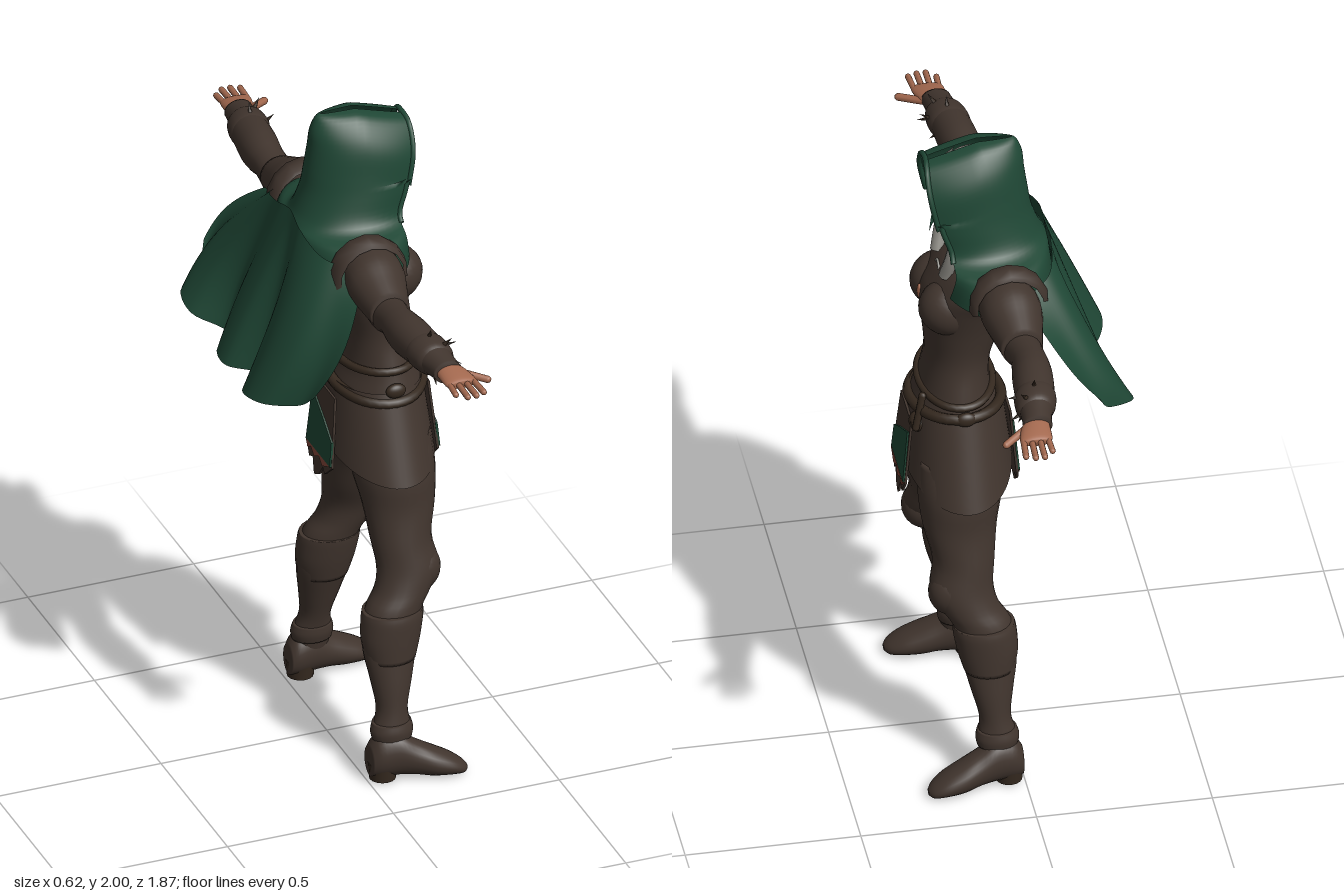
import * as THREE from 'three';

const mat = (name, color, side = THREE.FrontSide) => {
  const m = new THREE.MeshStandardMaterial({ color, side });
  m.name = name;
  return m;
};
const V = (x, y, z) => new THREE.Vector3(x, y, z);

export function createModel() {
  const model = new THREE.Group();
  const leather = mat('dark leather', 0x41352e, THREE.DoubleSide);
  const strap = mat('strap leather', 0x35291f, THREE.DoubleSide);
  const green = mat('green cloth', 0x1f4735, THREE.DoubleSide);
  const skin = mat('skin', 0xa4694f);
  const lips = mat('lips and fringe', 0x85483a);
  const hair = mat('grey hair', 0x94928b);

  const add = (name, geo, m, parent = model) => {
    const mesh = new THREE.Mesh(geo, m);
    mesh.name = name;
    parent.add(mesh);
    return mesh;
  };

  // Grid surface from rows of points; closed rings also get end caps
  function surface(rows, ring) {
    const n = rows[0].length, pos = [], idx = [];
    rows.forEach(r => r.forEach(p => pos.push(p.x, p.y, p.z)));
    for (let i = 0; i < rows.length - 1; i++)
      for (let j = 0; j < (ring ? n : n - 1); j++) {
        const k = (j + 1) % n, a = i * n + j, b = i * n + k, c = a + n, d = b + n;
        idx.push(a, c, b, b, c, d);
      }
    if (ring) [0, rows.length - 1].forEach(i => {
      const c = rows[i].reduce((s, p) => s.add(p), V(0, 0, 0)).divideScalar(n);
      const ci = pos.length / 3;
      pos.push(c.x, c.y, c.z);
      for (let j = 0; j < n; j++) {
        const a = i * n + j, b = i * n + (j + 1) % n;
        idx.push(...(i ? [a, ci, b] : [a, b, ci]));
      }
    });
    if (ring) { // turn faces outward
      let vol = 0;
      const at = i => V(pos[3 * i], pos[3 * i + 1], pos[3 * i + 2]);
      for (let i = 0; i < idx.length; i += 3) vol += at(idx[i]).dot(at(idx[i + 1]).cross(at(idx[i + 2])));
      if (vol < 0) idx.reverse();
    }
    const g = new THREE.BufferGeometry();
    g.setAttribute('position', new THREE.Float32BufferAttribute(pos, 3));
    g.setIndex(idx);
    g.computeVertexNormals();
    return g;
  }

  // Smooth interpolation of number rows
  function smooth(rows, sub) {
    const out = [];
    for (let i = 0; i < rows.length - 1; i++) for (let s = 0; s < sub; s++) {
      const t = s / sub, R = k => rows[Math.min(rows.length - 1, Math.max(0, k))];
      out.push(rows[i].map((_, k) => {
        const a = R(i - 1)[k], b = R(i)[k], c = R(i + 1)[k], d = R(i + 2)[k];
        return b + 0.5 * t * (c - a + t * (2 * a - 5 * b + 4 * c - d + t * (3 * (b - c) + d - a)));
      }));
    }
    out.push(rows[rows.length - 1]);
    return out;
  }

  // Elliptical loft; sections are [position, centre1, centre2, half1, half2]
  const place = {
    y: (k, p, q) => V(p, k, q), // 1 = x, 2 = z
    z: (k, p, q) => V(p, q, k), // 1 = x, 2 = y
    x: (k, p, q) => V(k, q, p)  // 1 = z, 2 = y
  };
  function loft(name, m, axis, sections, s = 1, sub = 4, n = 24) {
    const rows = smooth(sections, sub).map(([k, p, q, a, b]) => Array.from({ length: n }, (_, j) => {
      const t = j / n * Math.PI * 2, v = place[axis](k, p + a * Math.cos(t), q + b * Math.sin(t));
      v.z *= s;
      return v;
    }));
    return add(name, surface(rows, true), m);
  }
  const ball = (name, m, x, y, z, a, b, c) => {
    const o = add(name, new THREE.SphereGeometry(1, 24, 16), m);
    o.position.set(x, y, z);
    o.scale.set(a, b, c);
    return o;
  };
  const tube = (name, m, pts, r, closed = false) =>
    add(name, new THREE.TubeGeometry(new THREE.CatmullRomCurve3(pts, closed), 40, r, 8, closed), m);
  const rod = (name, m, p, q, r, cone) => {
    const len = p.distanceTo(q);
    const o = add(name, cone ? new THREE.ConeGeometry(r, len, 6) : new THREE.CapsuleGeometry(r, len, 4, 8), m);
    o.position.copy(p).lerp(q, 0.5);
    o.quaternion.setFromUnitVectors(V(0, 1, 0), q.clone().sub(p).normalize());
  };

  // Torso and bust
  loft('torso', leather, 'y', [
    [0.86, 0.14, 0, 0.06, 0.05], [0.93, 0.14, 0, 0.11, 0.14], [1.02, 0.14, 0, 0.13, 0.175],
    [1.12, 0.145, 0, 0.125, 0.17], [1.2, 0.145, 0, 0.1, 0.15], [1.3, 0.135, 0, 0.093, 0.128],
    [1.4, 0.12, 0, 0.115, 0.14], [1.5, 0.105, 0, 0.135, 0.165], [1.56, 0.09, 0, 0.12, 0.185],
    [1.61, 0.08, 0, 0.088, 0.17], [1.64, 0.07, 0, 0.05, 0.09]], 1, 5, 36);
  for (const s of [1, -1]) ball('bust', leather, 0.165, 1.485, 0.068 * s, 0.092, 0.085, 0.08);

  // Neck, head and face
  loft('neck', skin, 'y', [[1.56, 0.105, 0, 0.07, 0.05], [1.63, 0.1, 0, 0.055, 0.045], [1.72, 0.09, 0, 0.05, 0.045]]);
  loft('head', skin, 'y', [[1.655, 0.135, 0, 0.025, 0.02], [1.675, 0.125, 0, 0.05, 0.042], [1.73, 0.1, 0, 0.08, 0.062],
    [1.8, 0.09, 0, 0.095, 0.074], [1.87, 0.085, 0, 0.095, 0.074], [1.92, 0.07, 0, 0.07, 0.06], [1.94, 0.06, 0, 0.03, 0.03]]);
  ball('nose', skin, 0.183, 1.782, 0, 0.02, 0.026, 0.013);
  ball('mouth', lips, 0.171, 1.726, 0, 0.009, 0.006, 0.022);
  for (const s of [1, -1]) ball('eye', lips, 0.177, 1.825, 0.032 * s, 0.006, 0.006, 0.015);
  ball('hairCap', hair, 0.08, 1.89, 0, 0.107, 0.075, 0.088);
  for (const s of [1, -1]) tube('hairStrand', hair, [V(0.12, 1.93, 0.05 * s), V(0.165, 1.85, 0.084 * s),
    V(0.15, 1.74, 0.086 * s), V(0.165, 1.66, 0.082 * s), V(0.18, 1.59, 0.062 * s)], 0.02);

  // Hood flowing into the shoulder mantle: [height, back, front, half width, opening angle]
  const hoodRows = smooth([[2.0, -0.02, 0.225, 0.01, 2.1], [1.99, -0.035, 0.228, 0.05, 2.1], [1.95, -0.05, 0.228, 0.085, 2.1],
    [1.9, -0.055, 0.222, 0.108, 2.1], [1.83, -0.065, 0.208, 0.119, 2.1], [1.77, -0.075, 0.193, 0.129, 2.1],
    [1.71, -0.095, 0.172, 0.142, 2.15], [1.68, -0.11, 0.17, 0.17, 2.2], [1.655, -0.12, 0.17, 0.25, 2.35],
    [1.58, -0.13, 0.185, 0.29, 2.55]], 4).map(([y, b, f, w, T]) =>
    Array.from({ length: 37 }, (_, j) => {
      const t = (j / 18 - 1) * T;
      const x = b + (f - b) * (1 - Math.cos(t)) / (1 - Math.cos(T));
      return V(x, y - (y > 1.8 ? 0.3 * Math.max(0, x - 0.08) : 0), w * Math.sin(t));
    }));
  add('hood', surface(hoodRows, false), green);
  const brim = hoodRows.slice(0, 29);
  tube('hoodHem', green, [...brim.map(r => r[0]).reverse(), ...brim.map(r => r[36])], 0.008);

  // Cape with folds deepening toward the hem
  const topEdge = new THREE.CatmullRomCurve3([V(0.0, 1.63, -0.28), V(-0.09, 1.655, -0.2), V(-0.115, 1.69, -0.09),
    V(-0.11, 1.71, 0), V(-0.115, 1.69, 0.09), V(-0.09, 1.655, 0.2), V(0.0, 1.63, 0.28)]);
  const hem = new THREE.CatmullRomCurve3([[-0.19, 1.39, -0.45], [-0.22, 1.33, -0.41], [-0.3, 1.3, -0.35], [-0.3, 1.27, -0.27],
    [-0.22, 1.23, -0.2], [-0.28, 1.22, -0.13], [-0.28, 1.21, -0.06], [-0.2, 1.2, 0], [-0.28, 1.21, 0.07],
    [-0.305, 1.23, 0.15], [-0.28, 1.24, 0.23], [-0.2, 1.25, 0.29], [-0.18, 1.3, 0.35]].map(p => V(...p)));
  add('cape', surface(Array.from({ length: 17 }, (_, i) => Array.from({ length: 73 }, (_, j) => {
    const v = i / 16, p = topEdge.getPoint(j / 72).lerp(hem.getPoint(j / 72), v);
    p.z *= 1 + 0.18 * Math.sin(Math.PI * v);
    return p;
  })), false), green);

  // Skirt with a hem that dips at the hips
  add('skirt', surface(Array.from({ length: 9 }, (_, i) => Array.from({ length: 65 }, (_, j) => {
    const v = i / 8, t = j / 64 * Math.PI * 2, dip = Math.abs(Math.sin(t));
    return V(0.14 + (0.13 + 0.025 * v) * Math.cos(t), 1.15 - v * (0.19 + 0.07 * dip), (0.165 + 0.09 * v) * Math.sin(t));
  })), false), leather);

  // Front and back flaps with a green panel and a ragged fringe
  const plate = (name, m, pts, x, parent, depth = 0.007) => {
    const shape = new THREE.Shape(pts.map(p => new THREE.Vector2(...p)));
    const o = add(name, new THREE.ExtrudeGeometry(shape, { depth, bevelEnabled: false }), m, parent);
    o.rotation.y = -Math.PI / 2;
    o.position.x = x;
  };
  for (const s of [1, -1]) {
    const flap = new THREE.Group();
    flap.name = s > 0 ? 'frontFlap' : 'backFlap';
    flap.position.set(s > 0 ? 0.282 : 0.002, 1.11, 0);
    flap.rotation.z = 0.09 * s;
    model.add(flap);
    plate('flapLeather', leather, [[-0.085, 0], [0.07, 0], [0.095, -0.21], [0.05, -0.25], [0.035, -0.235], [0.01, -0.27],
      [-0.02, -0.285], [-0.04, -0.24], [-0.065, -0.25], [-0.09, -0.21]], 0, flap);
    plate('flapPanel', green, [[0.088, -0.13], [0.02, -0.09], [-0.078, -0.04], [-0.088, -0.205], [0.092, -0.205]],
      s > 0 ? 0.005 : -0.005, flap);
    plate('flapFringe', lips, [[0.092, -0.205], [-0.088, -0.205], [-0.07, -0.225], [-0.05, -0.212], [-0.02, -0.228],
      [0.01, -0.212], [0.04, -0.228], [0.07, -0.214]], s > 0 ? 0.006 : -0.006, flap, 0.006);
  }

  // Belts, buckle and waist knot
  const belt = (y, a, b, tilt, r) => tube('belt', strap, Array.from({ length: 24 }, (_, i) => {
    const t = i / 12 * Math.PI;
    return V(0.142 + a * Math.cos(t), y + tilt * Math.sin(t), b * Math.sin(t));
  }), r, true);
  belt(1.2, 0.103, 0.152, 0.012, 0.012);
  belt(1.14, 0.128, 0.168, -0.02, 0.016);
  ball('beltKnot', strap, 0.26, 1.1, -0.07, 0.025, 0.028, 0.032);
  rod('beltEnd', strap, V(0.25, 1.2, -0.09), V(0.27, 1.1, -0.1), 0.011);
  for (const s of [1, -1]) ball('hipBuckle', strap, 0.14, 1.16, 0.17 * s, 0.03, 0.022, 0.016);

  // Neck pendant and chest opening
  const ring = add('pendant', new THREE.TorusGeometry(0.022, 0.004, 6, 20), hair);
  ring.position.set(0.19, 1.575, 0);
  ring.rotation.set(0, Math.PI / 2, 0);
  ball('chestOpening', skin, 0.239, 1.49, 0.012, 0.008, 0.024, 0.012);

  for (const s of [1, -1]) {
    // Legs, boots and feet
    loft('leg', leather, 'y', [[0.09, 0.07, 0.31, 0.055, 0.042], [0.16, 0.075, 0.3, 0.055, 0.042], [0.22, 0.08, 0.288, 0.045, 0.044],
      [0.3, 0.085, 0.27, 0.06, 0.053], [0.4, 0.09, 0.247, 0.08, 0.062], [0.5, 0.105, 0.235, 0.083, 0.068],
      [0.56, 0.14, 0.222, 0.083, 0.068], [0.62, 0.16, 0.207, 0.09, 0.07], [0.7, 0.15, 0.18, 0.088, 0.08],
      [0.8, 0.155, 0.15, 0.105, 0.092], [0.9, 0.15, 0.122, 0.12, 0.115], [1.0, 0.145, 0.1, 0.12, 0.1]], s);
    loft('bootCuff', leather, 'y', [[0.36, 0.09, 0.255, 0.072, 0.062], [0.42, 0.093, 0.247, 0.086, 0.07],
      [0.48, 0.1, 0.24, 0.09, 0.075], [0.505, 0.103, 0.236, 0.088, 0.074]], s);
    loft('ankleBand', leather, 'y', [[0.13, 0.075, 0.302, 0.058, 0.046], [0.155, 0.075, 0.3, 0.062, 0.05],
      [0.18, 0.076, 0.297, 0.056, 0.047]], s);
    ball('kneePad', leather, 0.185, 0.605, 0.21 * s, 0.07, 0.075, 0.062);
    loft('foot', leather, 'x', [[0.005, 0.305, 0.065, 0.035, 0.045], [0.03, 0.308, 0.08, 0.047, 0.065], [0.08, 0.315, 0.085, 0.05, 0.07],
      [0.13, 0.325, 0.068, 0.052, 0.055], [0.18, 0.335, 0.05, 0.055, 0.045], [0.23, 0.342, 0.035, 0.05, 0.032],
      [0.265, 0.347, 0.022, 0.034, 0.02], [0.28, 0.349, 0.017, 0.012, 0.008]], s);
    const heel = add('heel', new THREE.CylinderGeometry(0.042, 0.038, 0.05, 16), strap);
    heel.position.set(0.044, 0.033, 0.309 * s);

    // Arms with wrapped bracers
    loft('arm', leather, 'z', [[0.14, 0.05, 1.57, 0.07, 0.07], [0.24, 0.04, 1.59, 0.075, 0.078], [0.32, 0.03, 1.57, 0.06, 0.064],
      [0.4, 0.025, 1.56, 0.055, 0.058], [0.47, 0.02, 1.575, 0.05, 0.05], [0.52, 0.02, 1.575, 0.054, 0.058],
      [0.58, 0.025, 1.575, 0.058, 0.062], [0.68, 0.035, 1.578, 0.054, 0.05], [0.75, 0.045, 1.574, 0.043, 0.04],
      [0.79, 0.05, 1.572, 0.042, 0.034]], s);
    loft('bracer', leather, 'z', [[0.64, 0.033, 1.577, 0.052, 0.05], [0.665, 0.035, 1.577, 0.06, 0.055],
      [0.71, 0.04, 1.576, 0.056, 0.051], [0.73, 0.042, 1.575, 0.045, 0.042]], s);
    for (let i = 0; i < 6; i++) {
      const t = (i - 2.5) * 0.62, z = (i % 2 ? 0.67 : 0.71) * s, c = Math.cos(t), d = Math.sin(t);
      rod('bracerSpike', strap, V(0.038 + 0.045 * c, 1.577 + 0.045 * d, z), V(0.038 + 0.082 * c, 1.577 + 0.08 * d, z + 0.015 * s), 0.008, true);
    }

    // Shoulder cap and the strap lying over the mantle
    loft('shoulderCap', leather, 'z', [[0.25, 0.035, 1.605, 0.085, 0.085], [0.3, 0.032, 1.6, 0.085, 0.082],
      [0.36, 0.028, 1.585, 0.072, 0.07], [0.42, 0.025, 1.57, 0.058, 0.058]], s);
    const arc = Array.from({ length: 9 }, (_, i) => i / 8 * Math.PI * 1.1 - 0.15);
    add('shoulderStrap', surface([[0.2, 0.098], [0.205, 0.108], [0.235, 0.114], [0.265, 0.108], [0.27, 0.095]].map(([z, r]) =>
      arc.map(t => V(0.03 + r * Math.cos(t), 1.6 + r * Math.sin(t), z * s))), false), leather);

    // Hands
    loft('palm', skin, 'z', [[0.77, 0.05, 1.572, 0.034, 0.025], [0.8, 0.058, 1.571, 0.042, 0.022],
      [0.845, 0.064, 1.568, 0.046, 0.016], [0.86, 0.065, 1.567, 0.04, 0.01]], s);
    for (let i = 0; i < 4; i++)
      rod('finger', skin, V(0.031 + i * 0.023, 1.568, 0.84 * s), V(0.028 + i * 0.026, 1.564, [0.9, 0.925, 0.925, 0.915][i] * s), 0.009);
    rod('thumb', skin, V(0.085, 1.567, 0.79 * s), V(0.148, 1.555, 0.838 * s), 0.011);
  }
  return model;
}
